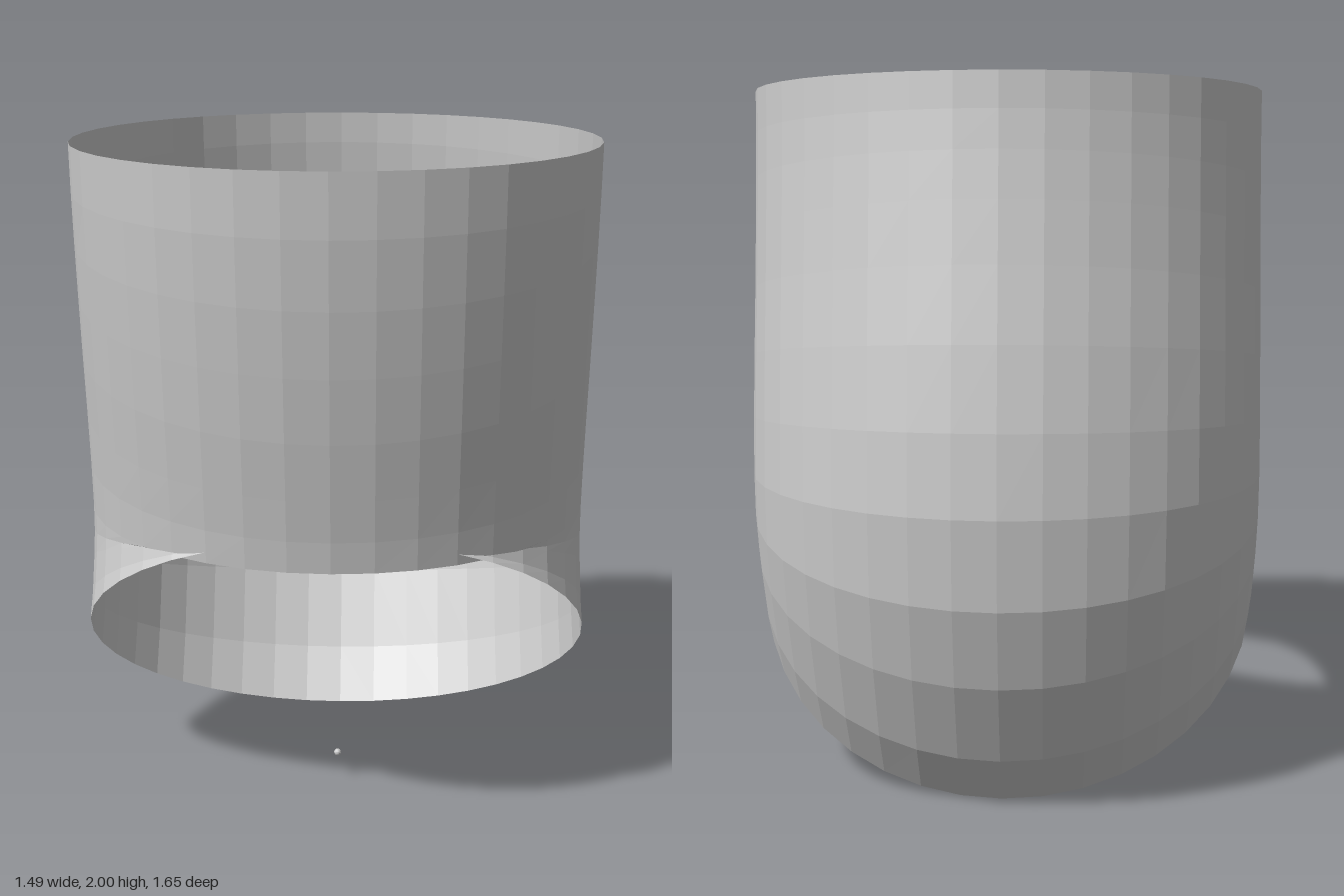
import * as THREE from 'three';

const RADIUS = 0.745;
const SIDES = 40;

// Tube sections from top to bottom: centre z, centre y, tilt in degrees (front edge up is positive)
const SECTIONS = [
  [0.085, 1.97, -2.3],
  [0.075, 1.84, -5],
  [0.057, 1.70, -8],
  [0.033, 1.55, -10],
  [0.003, 1.38, -10.5],
  [-0.033, 1.20, -9],
  [-0.063, 1.03, -5],
  [-0.08, 0.875, 0],
  [-0.074, 0.772, 11],
  [-0.044, 0.679, 22],
  [0.018, 0.556, 32.5],
  [0.08, 0.48, 40.1],
];

// Open surface through the tilted circular sections
function sweptTube() {
  const positions = [];
  const indices = [];
  for (const [z, y, degrees] of SECTIONS) {
    const tilt = THREE.MathUtils.degToRad(degrees);
    for (let i = 0; i < SIDES; i++) {
      const a = (i / SIDES) * Math.PI * 2;
      const forward = RADIUS * Math.cos(a);
      positions.push(RADIUS * Math.sin(a), y + forward * Math.sin(tilt), z + forward * Math.cos(tilt));
    }
  }
  for (let s = 0; s < SECTIONS.length - 1; s++) {
    for (let i = 0; i < SIDES; i++) {
      const j = (i + 1) % SIDES;
      const a = s * SIDES + i, b = s * SIDES + j;
      const c = a + SIDES, d = b + SIDES;
      indices.push(a, c, b, b, c, d);
    }
  }
  const geometry = new THREE.BufferGeometry();
  geometry.setAttribute('position', new THREE.Float32BufferAttribute(positions, 3));
  geometry.setIndex(indices);
  geometry.computeVertexNormals();
  return geometry;
}

export function createModel() {
  const group = new THREE.Group();
  group.name = 'bentSleeve';
  const material = new THREE.MeshStandardMaterial({
    color: 0xcccccc, flatShading: true, side: THREE.DoubleSide,
  });

  // Thin bent sleeve, open at both ends
  const sleeve = new THREE.Mesh(sweptTube(), material);
  sleeve.name = 'sleeve';
  group.add(sleeve);

  // Tiny loose bead below the lower opening
  const bead = new THREE.Mesh(new THREE.SphereGeometry(0.011, 10, 8), material);
  bead.name = 'bead';
  bead.position.set(0.005, 0.087, 0.092);
  group.add(bead);

  return group;
}
